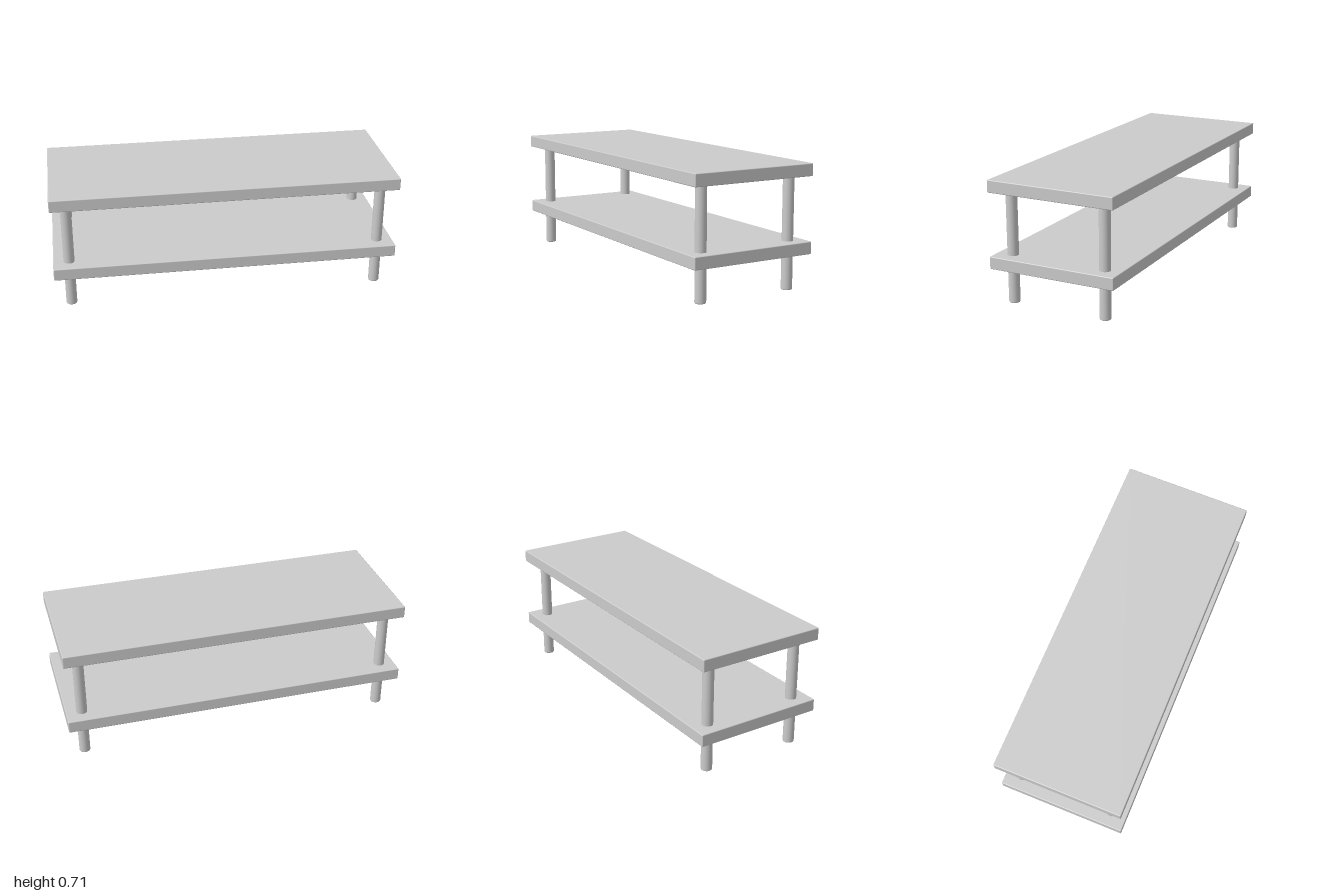
import * as THREE from 'three';
import { RoundedBoxGeometry } from 'three/addons/geometries/RoundedBoxGeometry.js';

const WIDTH = 2, DEPTH = 0.757, THICKNESS = 0.071;
const LEG_RADIUS = 0.0315, LEG_X = 0.909, LEG_Z = 0.284, LEG_TOP = 0.64;

export function createModel() {
  const group = new THREE.Group();
  group.name = 'twoTierTable';
  const material = new THREE.MeshStandardMaterial({ color: 0xcccccc });

  const add = (name, geometry, x, y, z) => {
    const mesh = new THREE.Mesh(geometry, material);
    mesh.name = name;
    mesh.position.set(x, y, z);
    group.add(mesh);
  };

  // Two identical boards with slightly eased edges
  const board = new RoundedBoxGeometry(WIDTH, THICKNESS, DEPTH, 3, 0.005);
  add('tableTop', board, 0, 0.6705, 0);
  add('lowerShelf', board, 0, 0.2395, 0);

  // Round legs running through the shelf, with a softened foot
  const profile = [new THREE.Vector2(0, 0)];
  const ease = 0.006;
  for (let i = 0; i <= 4; i++) {
    const a = (i / 4) * Math.PI / 2;
    profile.push(new THREE.Vector2(
      LEG_RADIUS - ease + ease * Math.sin(a),
      ease - ease * Math.cos(a)
    ));
  }
  profile.push(new THREE.Vector2(LEG_RADIUS, LEG_TOP));
  const leg = new THREE.LatheGeometry(profile, 32);

  for (const [side, x] of [['Left', LEG_X], ['Right', -LEG_X]]) {
    for (const [end, z] of [['front', LEG_Z], ['back', -LEG_Z]]) {
      add(`${end}${side}Leg`, leg, x, 0, z);
    }
  }

  return group;
}
